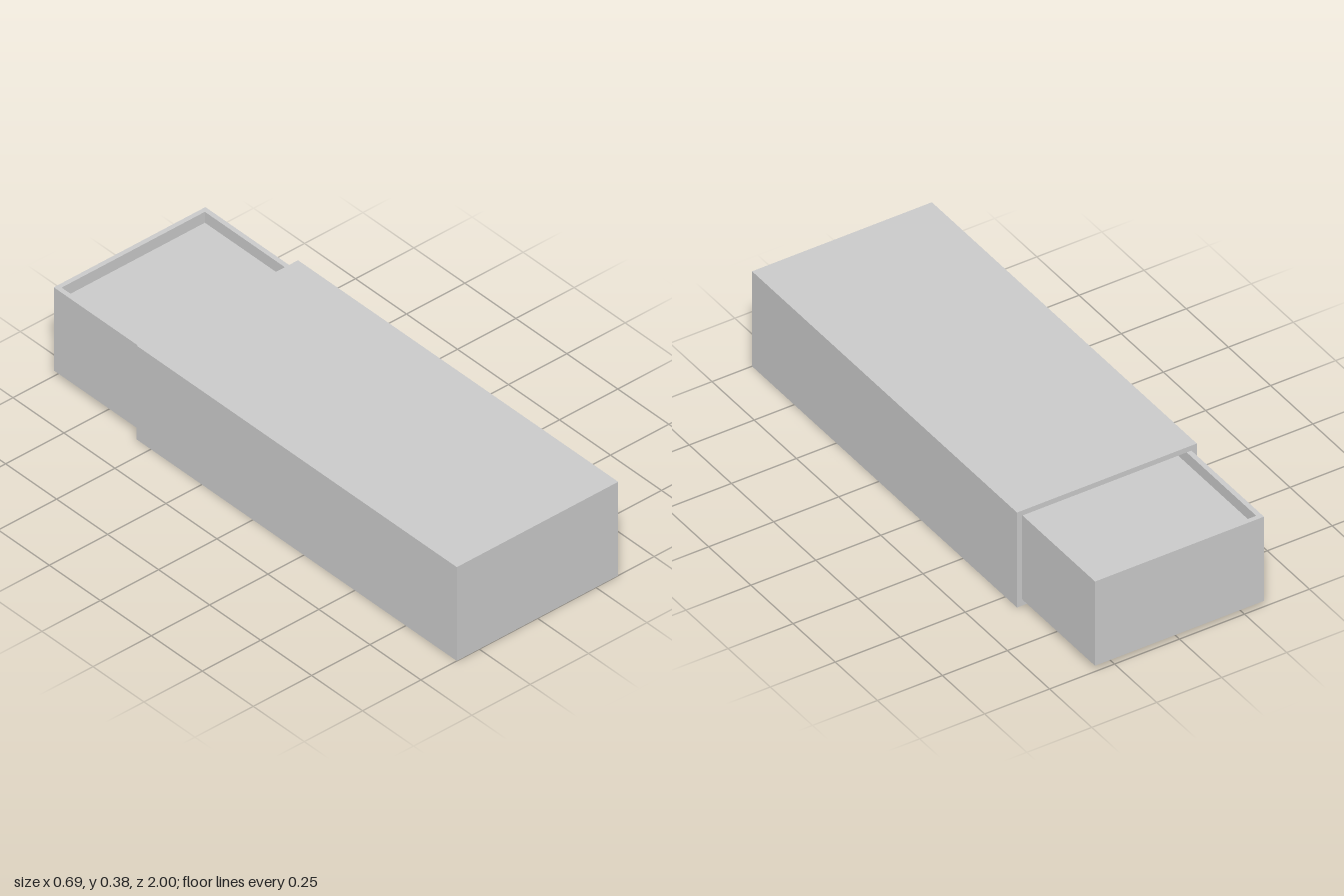
import * as THREE from 'three';

const material = new THREE.MeshStandardMaterial({ color: 0xcccccc, flatShading: true });

function rect(Type, x0, y0, x1, y1) {
  return new Type([[x0, y0], [x1, y0], [x1, y1], [x0, y1]].map(([x, y]) => new THREE.Vector2(x, y)));
}

// Rectangular frame in the XY plane, extruded along +z
function frame(outer, inner, depth) {
  const shape = rect(THREE.Shape, ...outer);
  shape.holes.push(rect(THREE.Path, ...inner));
  return new THREE.ExtrudeGeometry(shape, { depth, bevelEnabled: false });
}

function add(group, name, geometry, x = 0, y = 0, z = 0) {
  const mesh = new THREE.Mesh(geometry, material);
  mesh.name = name;
  mesh.position.set(x, y, z);
  group.add(mesh);
  return mesh;
}

export function createModel() {
  const model = new THREE.Group();
  model.name = 'slidingBox';

  // Sleeve: open at the back, closed at the front
  const sleeve = new THREE.Group();
  sleeve.name = 'sleeve';
  const backEdge = -0.57, frontWall = 0.02;
  add(sleeve, 'sleeveShell',
    frame([-0.346, 0, 0.346, 0.38], [-0.326, 0.022, 0.326, 0.36], 1 - frontWall - backEdge), 0, 0, backEdge);
  add(sleeve, 'sleeveFront', new THREE.BoxGeometry(0.692, 0.38, frontWall), 0, 0.19, 1 - frontWall / 2);
  model.add(sleeve);

  // Tray: slid out of the back, with a shallow recess inside a thin rim
  const tray = new THREE.Group();
  tray.name = 'tray';
  const bottom = 0.023, floor = 0.316, top = 0.36, front = 0.975, rim = 0.018, w = 0.325;
  const length = front + 1, middle = (front - 1) / 2;
  add(tray, 'trayBody', new THREE.BoxGeometry(2 * w, floor - bottom, length), 0, (floor + bottom) / 2, middle);
  const rimMesh = add(tray, 'trayRim',
    frame([-w, -length / 2, w, length / 2], [-w + rim, -length / 2 + rim, w - rim, length / 2 - rim], top - floor),
    0, floor, middle);
  rimMesh.rotation.x = -Math.PI / 2;
  model.add(tray);

  return model;
}
